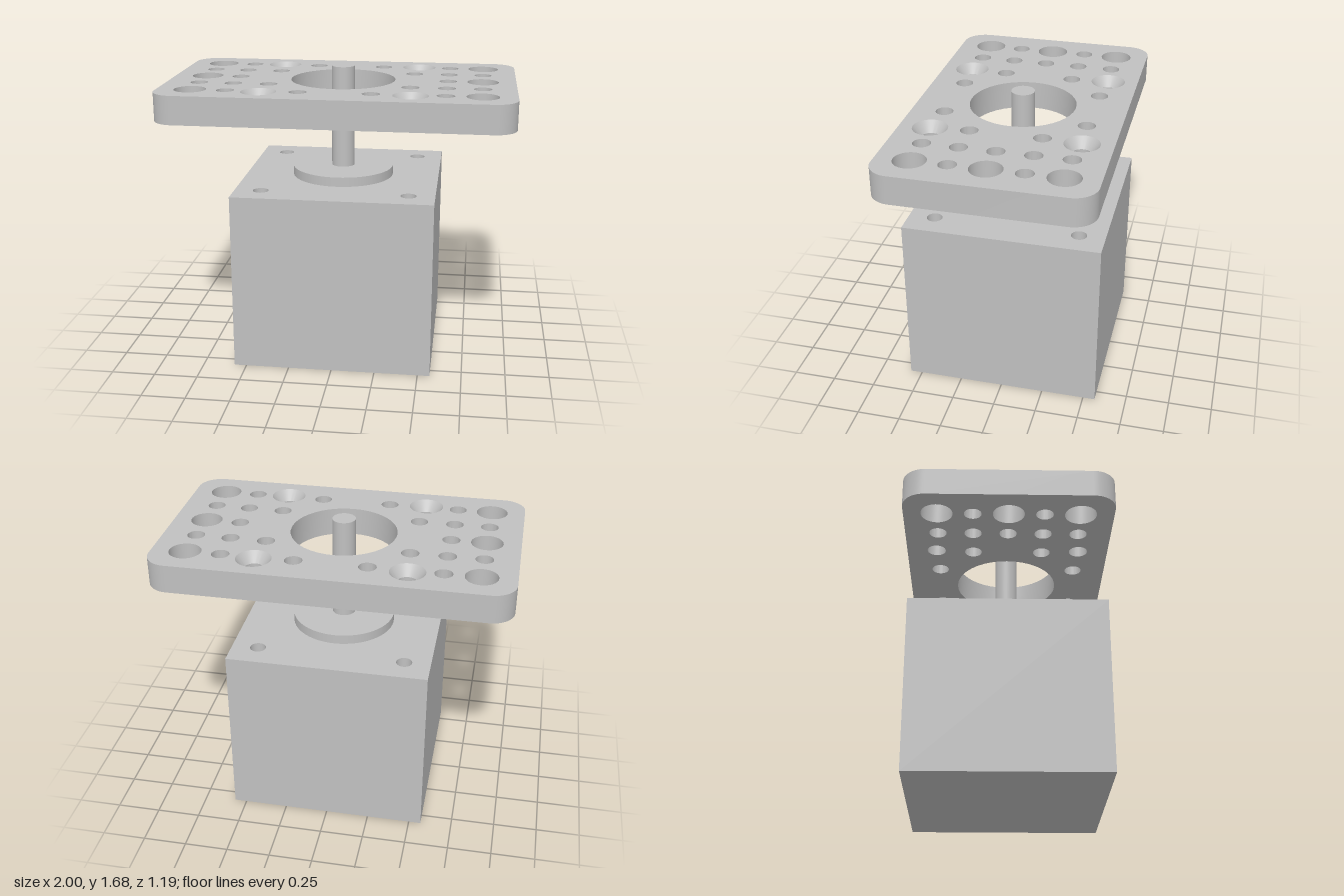
import * as THREE from 'three';
import { mergeGeometries, toCreasedNormals } from 'three/addons/utils/BufferGeometryUtils.js';

// Clockwise loop of points around a hole
const circle = (x, z, r, n = 40) => Array.from({ length: n }, (_, i) => {
  const a = -i / n * Math.PI * 2;
  return new THREE.Vector2(x + r * Math.cos(a), -z + r * Math.sin(a));
});

// Counter-clockwise rectangle, with rounded corners when r > 0
function rectangle(w, d, r = 0, n = 14) {
  const points = [];
  [[1, 1], [-1, 1], [-1, -1], [1, -1]].forEach(([sx, sy], k) => {
    const steps = r ? n : 0;
    for (let i = 0; i <= steps; i++) {
      const a = (k + (r ? i / n : 0)) * Math.PI / 2;
      points.push(new THREE.Vector2(sx * (w - r) + r * Math.cos(a), sy * (d - r) + r * Math.sin(a)));
    }
  });
  return points;
}

// Wall between a lower and an upper loop
function band(lower, y0, upper, y1) {
  const pos = [], index = [], n = lower.length;
  for (let i = 0; i < n; i++) {
    pos.push(lower[i].x, y0, -lower[i].y, upper[i].x, y1, -upper[i].y);
    const a = 2 * i, b = 2 * ((i + 1) % n);
    index.push(a, b, b + 1, a, b + 1, a + 1);
  }
  const g = new THREE.BufferGeometry();
  g.setAttribute('position', new THREE.Float32BufferAttribute(pos, 3));
  g.setIndex(index);
  g.computeVertexNormals();
  return g;
}

function cap(outline, loops, y, up) {
  const shape = new THREE.Shape(outline);
  shape.holes = loops.map(l => new THREE.Path(l));
  return new THREE.ShapeGeometry(shape).rotateX(up ? -Math.PI / 2 : Math.PI / 2).translate(0, y, 0);
}

// Solid block with through, countersunk (sink) or blind (depth) holes
function drilledBlock(outline, y0, y1, holes) {
  const parts = [band(outline, y0, outline, y1)];
  const topLoops = [], bottomLoops = [];
  for (const { x, z, r, sink, depth } of holes) {
    const loop = circle(x, z, r);
    const end = depth ? y1 - depth : y0;
    const neck = sink ? y1 - sink.depth : y1;
    parts.push(band(loop, end, loop, neck));
    const mouth = sink ? circle(x, z, sink.r) : loop;
    if (sink) parts.push(band(loop, neck, mouth, y1));
    topLoops.push(mouth);
    if (depth) parts.push(new THREE.CircleGeometry(r, 40).rotateX(-Math.PI / 2).translate(x, end, z));
    else bottomLoops.push(loop);
  }
  parts.push(cap(outline, topLoops, y1, true), cap(outline, bottomLoops, y0, false));
  const plain = parts.map(p => {
    const g = p.toNonIndexed();
    g.deleteAttribute('uv');
    return g;
  });
  return toCreasedNormals(mergeGeometries(plain), 0.5);
}

export function createModel() {
  const group = new THREE.Group();
  const metal = new THREE.MeshStandardMaterial({ color: 0xc0c0c0 });
  metal.name = 'grey metal';
  const add = (name, geometry, y = 0) => {
    const mesh = new THREE.Mesh(geometry, metal);
    mesh.name = name;
    mesh.position.y = y;
    group.add(mesh);
  };

  // Motor body with four blind screw holes
  const corners = [[1, 1], [-1, 1], [-1, -1], [1, -1]];
  add('motorBody', drilledBlock(rectangle(0.57, 0.57), 0, 1.03,
    corners.map(([sx, sz]) => ({ x: sx * 0.42, z: sz * 0.42, r: 0.045, depth: 0.12 }))));

  // Raised boss and drive shaft
  add('motorBoss', new THREE.CylinderGeometry(0.297, 0.297, 0.055, 64), 1.0575);
  add('driveShaft', new THREE.CylinderGeometry(0.067, 0.067, 0.6, 40), 1.38);

  // Mounting plate and its hole pattern
  const holes = [{ x: 0, z: 0, r: 0.304 }];
  for (const s of [-1, 1]) {
    for (let i = -2; i <= 2; i++) {
      const z = i * 0.2025;
      holes.push({ x: s * 0.81, z, r: i % 2 ? 0.05 : 0.09 });
      holes.push({ x: s * 0.61, z, r: 0.05 });
    }
    for (const t of [-1, 1]) {
      holes.push({ x: s * 0.405, z: t * 0.2025, r: 0.05 });
      holes.push({ x: s * 0.2025, z: t * 0.405, r: 0.05 });
      holes.push({ x: s * 0.42, z: t * 0.42, r: 0.054, sink: { r: 0.099, depth: 0.06 } });
    }
  }
  add('mountingPlate', drilledBlock(rectangle(1, 0.594, 0.13), 1.437, 1.6, holes));
  return group;
}
